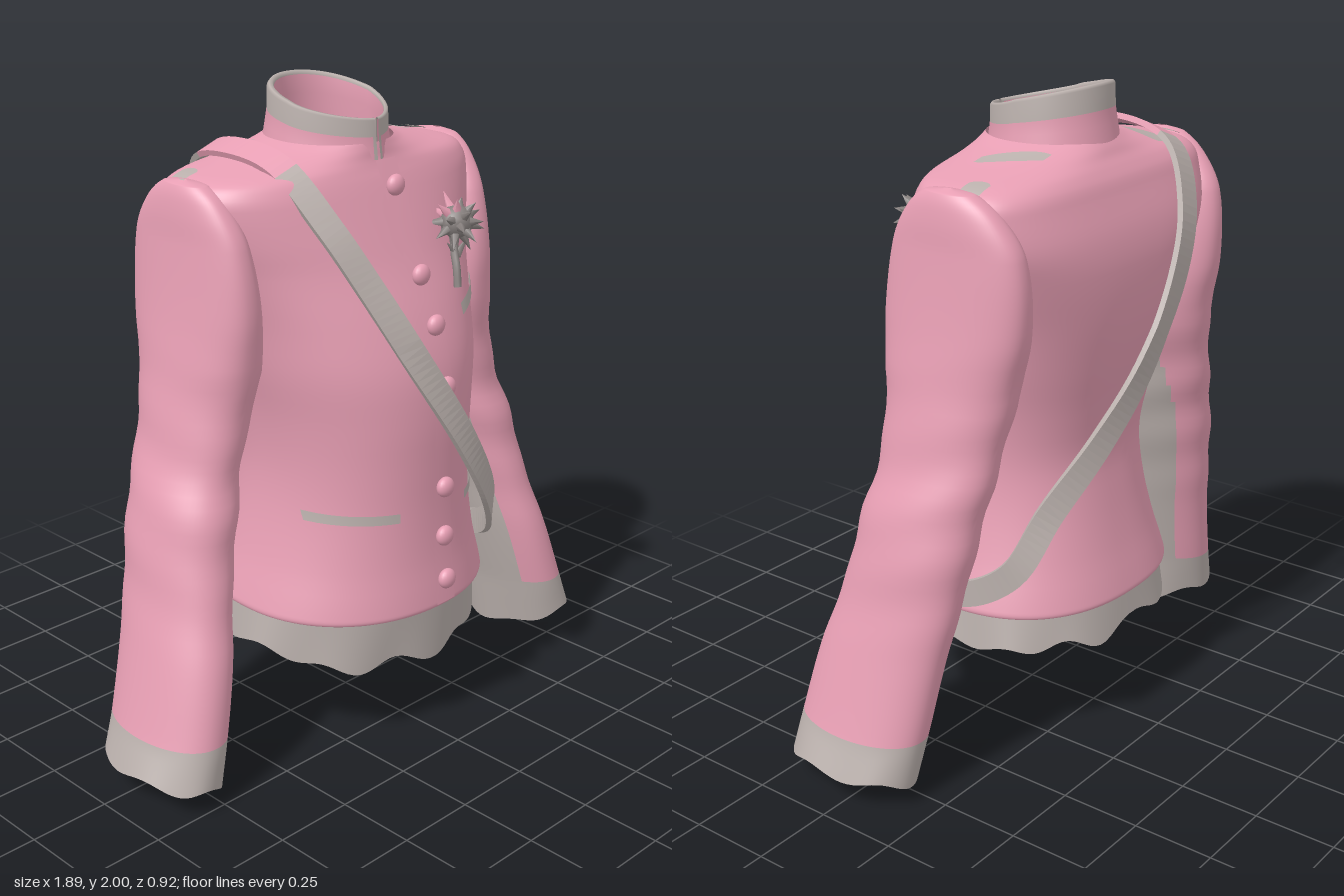
import * as THREE from 'three';

const mat = (name, color) => {
  const m = new THREE.MeshStandardMaterial({ color, side: THREE.DoubleSide });
  m.name = name;
  return m;
};

// Smooth interpolation of a table whose first column is y (descending)
function at(rows, y) {
  let i = 0;
  while (i < rows.length - 2 && y < rows[i + 1][0]) i++;
  const a = rows[i], b = rows[i + 1], p = rows[Math.max(i - 1, 0)], n = rows[Math.min(i + 2, rows.length - 1)];
  const h = b[0] - a[0], t = (y - a[0]) / h, t2 = t * t, t3 = t2 * t;
  return a.map((v, k) => k === 0 ? y :
    (2 * t3 - 3 * t2 + 1) * v + (t3 - 2 * t2 + t) * h * (b[k] - p[k]) / (b[0] - p[0]) +
    (3 * t2 - 2 * t3) * b[k] + (t3 - t2) * h * (n[k] - a[k]) / (n[0] - a[0]));
}

// Heights that subdivide each step of a table
const levels = (rows, k) => rows.slice(0, -1).flatMap((r, i) =>
  Array.from({ length: k }, (_, j) => r[0] + (rows[i + 1][0] - r[0]) * j / k)).concat(rows[rows.length - 1][0]);

// Surface from point(i, j); pick(i, j) chooses the material of each cell, -1 leaves it out
function grid(name, nu, nv, closed, point, mats, pick = () => 0) {
  const pos = [], lists = mats.map(() => []), cols = closed ? nu : nu + 1;
  for (let j = 0; j <= nv; j++) for (let i = 0; i < cols; i++) pos.push(...point(i, j));
  for (let j = 0; j < nv; j++) for (let i = 0; i < nu; i++) {
    const i2 = (i + 1) % cols, a = j * cols + i, b = j * cols + i2, c = a + cols, d = b + cols, k = pick(i, j);
    if (k >= 0) lists[k].push(a, b, c, b, d, c);
  }
  const g = new THREE.BufferGeometry();
  g.setAttribute('position', new THREE.Float32BufferAttribute(pos, 3));
  g.setIndex(lists.flat());
  let start = 0;
  lists.forEach((l, k) => { g.addGroup(start, l.length, k); start += l.length; });
  g.computeVertexNormals();
  const m = new THREE.Mesh(g, mats.length > 1 ? mats : mats[0]);
  m.name = name;
  return m;
}

const spow = (v, e) => Math.sign(v) * Math.pow(Math.abs(v), e);
// Oval with separate roundness for its front and back halves
function oval(w, zf, zb, a, nf, nb) {
  const c = Math.cos(a), s = Math.sin(a), e = 2 / (s > 0 ? nf : nb);
  return [w * spow(c, e), (zf + zb) / 2 + (zf - zb) / 2 * spow(s, e)];
}

// y, half width, front z, back z, front and back roundness
const TORSO = [
  [1.84, .188, .125, -.265, 2, 2.2], [1.82, .25, .13, -.28, 2, 2.3], [1.795, .36, .135, -.295, 2.1, 2.6],
  [1.77, .49, .145, -.315, 2.2, 3], [1.74, .53, .16, -.335, 2.25, 3.4], [1.7, .54, .178, -.35, 2.25, 3.5],
  [1.6, .52, .22, -.385, 2.2, 3.5], [1.5, .48, .262, -.40, 2.15, 3.2], [1.35, .425, .33, -.395, 2.15, 2.9],
  [1.2, .39, .378, -.37, 2.15, 2.7], [1.05, .355, .392, -.335, 2.15, 2.6], [.9, .34, .39, -.31, 2.15, 2.5],
  [.76, .35, .388, -.325, 2.15, 2.4], [.6, .385, .395, -.355, 2.15, 2.4], [.46, .43, .412, -.39, 2.15, 2.4],
  [.44, .43, .41, -.39, 2.15, 2.4], [.435, .415, .395, -.375, 2.15, 2.4]];
const frontZ = (x, y) => {
  const [, w, zf, zb, n] = at(TORSO, y);
  return (zf + zb) / 2 + (zf - zb) / 2 * Math.pow(Math.max(0, 1 - Math.pow(Math.abs(x / w), n)), 1 / n);
};
// Below 1 inside the body, above 1 outside
const depth = (x, y, z) => {
  const [, w, zf, zb, nf, nb] = at(TORSO, y), d = (2 * z - zf - zb) / (zf - zb), n = d > 0 ? nf : nb;
  return Math.pow(Math.abs(x / w), n) + Math.pow(Math.abs(d), n);
};
// Height of the shoulder surface above a point of the plan
const topY = (x, z) => {
  let lo = 1.6, hi = 1.84;
  for (let k = 0; k < 24; k++) {
    const y = (lo + hi) / 2;
    if (depth(x, y, z) < 1) lo = y; else hi = y;
  }
  return lo;
};

// y, inner x, outer x, front z, back z
const SLEEVE = [
  [1.776, .52, .535, -.1, -.13], [1.765, .48, .558, -.03, -.2], [1.7, .44, .575, .045, -.285],
  [1.6, .41, .582, .1, -.345], [1.4, .38, .605, .13, -.355], [1.2, .375, .638, .115, -.315],
  [1, .435, .68, .1, -.285], [.8, .487, .75, .13, -.26], [.6, .545, .788, .165, -.235],
  [.4, .595, .842, .22, -.205], [.2, .645, .9, .25, -.185], [.07, .68, .945, .26, -.17]];
const sleeveAt = (s, a, y) => {
  const [, xi, xo, zf, zb] = at(SLEEVE, y), c = Math.cos(a);
  const hem = Math.max(0, 1 - (y - .07) / .12), mid = Math.max(0, 1 - Math.abs(y - .9) / .5);
  const fold = 1 + .03 * mid * Math.sin(y * 30 + 2 * Math.sin(a)), e = y > 1.2 ? .85 : .93;
  const x = (xi + xo) / 2 + (xo - xi) / 2 * spow(c, e) * fold;
  const z = (zf + zb) / 2 + (zf - zb) / 2 * Math.sin(a) * fold;
  return [s * x, y + hem * (.025 * c + (c < 0 ? .04 * c ** 5 : 0) + .01 * Math.sin(5 * a)), z];
};

export function createModel() {
  const pink = mat('pink cloth', 0xe9a0b5), grey = mat('grey trim', 0xbab0ac), dark = mat('dark metal', 0x88817f);
  const model = new THREE.Group();
  model.name = 'jacket';
  const TAU = Math.PI * 2;

  // Body
  const ty = levels(TORSO, 4);
  model.add(grid('body', 96, ty.length - 1, true, (i, j) => {
    const [, w, zf, zb, nf, nb] = at(TORSO, ty[j]), [x, z] = oval(w, zf, zb, -i / 96 * TAU, nf, nb);
    return [x, ty[j], z];
  }, [pink]));

  // Wavy underskirt below the hem
  model.add(grid('underskirt', 128, 6, true, (i, j) => {
    const a = -i / 128 * TAU, k = j / 6;
    const [x, z] = oval(.41 + .02 * k, .385 - .012 * k, -.37 - .02 * k, a, 2.15, 2.4);
    const low = .335 - .07 * Math.max(0, Math.sin(a)) + .015 * Math.sin(11 * a) + .01 * Math.sin(7 * a + 1);
    const r = 1 + .015 * k * Math.sin(9 * a);
    return [x * r, .47 + (low - .47) * k, z * r];
  }, [grey]));

  // Standing collar, open at the front; columns are inset and rise
  const section = [[0, 0], [.008, .3], [.014, .55], [.016, .95], [.022, 1], [.032, 1], [.036, .93], [.036, .6], [.03, 0]];
  model.add(grid('collar', 72, section.length - 1, false, (i, j) => {
    const a = Math.PI / 2 - .06 - i / 72 * (TAU - .12), [inset, k] = section[j];
    const back = (1 - Math.sin(a)) / 2;
    const [x, z] = oval(.193 - inset, .14 - inset * .6, -.272 + inset, a, 1.6, 2.1);
    return [x, 1.79 + .04 * back + (.12 + .05 * back) * k, z];
  }, [pink, grey], (i, j) => (j >= 2 && j <= 5) || i === 0 || i === 71 ? 1 : 0));

  // Plates laid on the shoulders: a strip from one point to another, in x and z
  const shoulderMark = (name, x0, z0, x1, z1, width) => model.add(grid(name, 14, 6, false, (i, j) => {
    const u = i / 14, v = (j / 6 - .5) * width * (1 - .4 * Math.abs(2 * u - 1) ** 3);
    const x = x0 + (x1 - x0) * u + v, z = z0 + (z1 - z0) * u;
    return [x, topY(x, z) + .006, z];
  }, [grey]));
  shoulderMark('leftShoulderMark', .22, -.22, .32, -.05, .065);
  shoulderMark('rightShoulderMark', -.285, -.28, -.235, -.17, .09);

  // Sleeves, open at the armhole, with grey cuffs and a grey strip along the inside
  const sy = levels(SLEEVE, 6);
  for (const s of [1, -1]) {
    const side = s > 0 ? 'left' : 'right';
    const point = (i, j) => sleeveAt(s, -s * i / 64 * TAU, sy[j]);
    model.add(grid(side + 'Sleeve', 64, sy.length - 1, true, point, [pink, grey], (i, j) => {
      const inner = -Math.cos((i + .5) / 64 * TAU), y = sy[j];
      if (y > .9 && depth(...point(i, j)) < .75) return -1;
      return y <= .201 || (y < 1.15 && inner > .73 + Math.max(0, y - .88)) ? 1 : 0;
    }));
    shoulderMark(side + 'SleeveMark', s * .475, -.2, s * .485, -.135, .08);
  }

  // Thin plates laid on the front: x0, y0, x1, y1, height
  const plate = (name, x0, y0, x1, y1, h, m, lift) => model.add(grid(name, 12, 24, false, (i, j) => {
    const u = i / 12, x = x0 + (x1 - x0) * u, y = y0 + (y1 - y0) * u + h * (.5 - j / 24);
    return [x, y, frontZ(x, y) + lift];
  }, [m]));
  plate('chestPocket', .18, 1.335, .365, 1.37, .034, grey, .008);
  plate('rightPocket', -.335, .77, -.14, .765, .03, grey, .008);
  plate('leftPocket', .285, .765, .15, .755, .028, grey, .008);
  plate('frontPlacket', -.018, 1.12, .065, 1.12, 1.34, pink, .005);

  // Buttons
  for (const y of [1.72, 1.47, 1.33, 1.15, .83, .67, .53]) {
    const b = new THREE.Mesh(new THREE.SphereGeometry(.032, 20, 14), pink);
    b.name = 'button';
    b.scale.z = .7;
    b.position.set(.02, y, frontZ(.02, y) + .018);
    model.add(b);
  }

  // Shoulder strap: closed ribbon around the body, pink on top of the shoulder
  const path = new THREE.CatmullRomCurve3([
    [-.315, 1.83, -.12], [-.31, 1.8, .05], [-.265, 1.64, .205], [-.2, 1.48, .295], [-.1, 1.26, .39],
    [.05, 1, .445], [.2, .77, .42], [.33, .6, .31], [.415, .51, .14], [.43, .5, -.06], [.385, .59, -.215],
    [.29, .77, -.285], [.15, .97, -.365], [.02, 1.18, -.425], [-.12, 1.45, -.448], [-.2, 1.63, -.42],
    [-.275, 1.785, -.32]].map(p => new THREE.Vector3(...p)), true);
  const N = 160, corners = [[-1, -1], [-1, 1], [1, 1], [1, -1], [-1, -1]];
  const ribbon = grid('shoulderStrap', 4, N, false, (i, j) => {
    const t = (j % N) / N, p = path.getPointAt(t), tan = path.getTangentAt(t);
    const n = new THREE.Vector3(p.x, Math.max(0, p.y - 1.3) * 1.5, p.z + .02).normalize();
    const side = tan.clone().cross(n).normalize();
    n.crossVectors(side, tan).normalize();
    return p.addScaledVector(side, corners[i][0] * .041).addScaledVector(n, corners[i][1] * .009).toArray();
  }, [grey, pink], (i, j) => path.getPointAt(j / N).y > 1.795 ? 1 : 0);
  ribbon.geometry = ribbon.geometry.toNonIndexed();
  ribbon.geometry.computeVertexNormals();
  model.add(ribbon);

  // Thistle brooch
  const brooch = new THREE.Group();
  brooch.name = 'brooch';
  brooch.position.set(.22, 1.585, .25);
  const add = (name, geo, m) => {
    const mesh = new THREE.Mesh(geo, m);
    mesh.name = name;
    brooch.add(mesh);
    return mesh;
  };
  add('flowerHead', new THREE.IcosahedronGeometry(.052, 1), dark);
  const up = new THREE.Vector3(0, 1, 0);
  for (let i = 0; i < 26; i++) {
    const h = 1 - (i + .5) / 26 * 2, r = Math.sqrt(1 - h * h), a = i * 2.4;
    const d = new THREE.Vector3(r * Math.cos(a), h, r * Math.sin(a));
    const len = .035 + .028 * ((i * 7) % 5) / 4;
    const spike = add('spike', new THREE.ConeGeometry(.017, len, 5), i < 8 && i % 3 ? pink : dark);
    spike.quaternion.setFromUnitVectors(up, d);
    spike.position.copy(d).multiplyScalar(.04 + len / 2);
  }
  const stem = new THREE.CatmullRomCurve3([[0, -.03, 0], [-.02, -.08, .01], [-.035, -.13, .035], [-.045, -.185, .05]]
    .map(p => new THREE.Vector3(...p)));
  add('stem', new THREE.TubeGeometry(stem, 12, .012, 8), dark);
  for (const s of [1, -1]) {
    const leaf = add('leaf', new THREE.ConeGeometry(.015, .07, 5), dark);
    leaf.position.set(-.008 + s * .024, -.075, .012);
    leaf.rotation.z = -s * .8;
  }
  model.add(brooch);
  return model;
}
